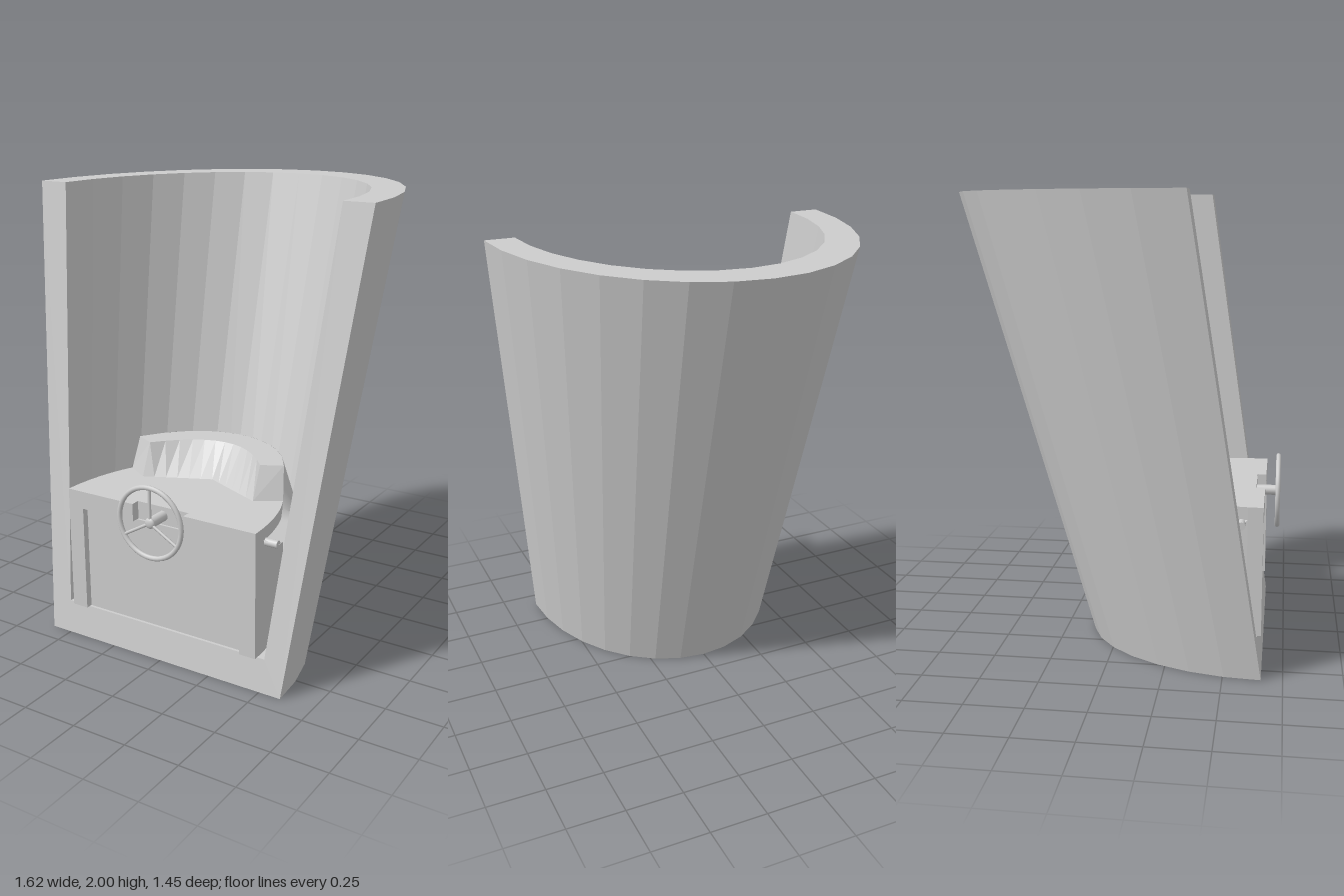
import * as THREE from 'three';

export function createModel() {
  const model = new THREE.Group();
  const grey = new THREE.MeshStandardMaterial({ color: 0xcccccc, side: THREE.DoubleSide });
  grey.name = 'light grey';

  const add = (name, geometry, x = 0, y = 0, z = 0) => {
    const mesh = new THREE.Mesh(geometry, grey);
    mesh.name = name;
    mesh.position.set(x, y, z);
    model.add(mesh);
    return mesh;
  };

  // Faceted geometry from quads, each given as four corners
  const fromQuads = (quads) => {
    const g = new THREE.BufferGeometry();
    const p = quads.flatMap(([a, b, c, d]) => [a, b, c, a, c, d]).flat();
    g.setAttribute('position', new THREE.Float32BufferAttribute(p, 3));
    g.computeVertexNormals();
    return g;
  };
  // Strip between two equally long rows of points
  const strip = (a, b) => a.slice(1).map((p, i) => [a[i], p, b[i + 1], b[i]]);

  // Leaning half-elliptical shell; every arc starts on the sloping front plane
  const arc = (y, rx, rz) => Array.from({ length: 17 }, (_, i) => {
    const t = (i / 16) * Math.PI;
    return [rx * Math.cos(t), y, 0.66 - 0.155 * y - rz * Math.sin(t)];
  });
  const outerLow = arc(0, 0.6, 0.79), outerTop = arc(2, 0.81, 1.08);
  const innerLow = arc(0.145, 0.512, 0.675), innerTop = arc(2, 0.675, 0.9);
  const mirrored = (row) => row.map(([x, y, z]) => [-x, y, 0.66 - 0.155 * y]);
  const flat = (row) => row.map(([x, y]) => [x, y, 0.66 - 0.155 * y]);
  const L = 16;
  add('shell', fromQuads([
    ...strip(outerTop, outerLow),
    ...strip(innerLow, innerTop),
    ...strip(innerTop, outerTop),
    ...strip(flat(innerLow), innerLow),
    ...strip(outerLow, flat(outerLow)),
    [outerLow[0], outerTop[0], innerTop[0], innerLow[0]],
    [outerTop[L], outerLow[L], innerLow[L], innerTop[L]],
    [outerLow[L], outerLow[0], innerLow[0], innerLow[L]],
  ]));

  // Rounded console, extruded upward with a notch cut in its front edge
  const consoleBlock = (name, y, h, notchWidth, notchBack) => {
    const s = new THREE.Shape();
    const f = 0.655;
    s.moveTo(-0.478, -f);
    s.lineTo(-notchWidth, -f);
    s.lineTo(-notchWidth, -notchBack);
    s.lineTo(notchWidth, -notchBack);
    s.lineTo(notchWidth, -f);
    s.lineTo(0.478, -f);
    for (let i = 1; i < 32; i++) {
      const t = (i / 32) * Math.PI;
      s.lineTo(0.478 * Math.cos(t), -f + 0.665 * Math.sin(t));
    }
    const g = new THREE.ExtrudeGeometry(s, { depth: h, bevelEnabled: false });
    g.rotateX(-Math.PI / 2);
    add(name, g, 0, y, 0);
  };
  consoleBlock('consoleBody', 0.145, 0.48, 0.402, 0.625);
  consoleBlock('consoleTop', 0.625, 0.08, 0.13, 0.615);

  // Raised hood at the back of the console
  const n = 12;
  const row = (halfWidth, y, z) => Array.from({ length: n + 1 }, (_, i) => {
    const s = 1 - (2 * i) / n;
    return [halfWidth * s, y, z(s)];
  });
  const rim = (halfWidth) => (s) => 0.655 - 0.665 * Math.sqrt(1 - (halfWidth * s / 0.478) ** 2);
  const backTop = row(0.38, 0.85, rim(0.38)), backLow = row(0.4, 0.705, rim(0.4));
  const faceTop = row(0.29, 0.85, (s) => 0.12 + 0.18 * s * s);
  const faceLow = row(0.29, 0.705, (s) => 0.23 + 0.13 * Math.abs(s));
  add('hood', fromQuads([
    ...strip(faceTop, backTop),
    ...strip(faceLow, faceTop),
    ...strip(backTop, backLow),
    [backTop[0], backLow[0], faceLow[0], faceTop[0]],
    [backLow[n], backTop[n], faceTop[n], faceLow[n]],
  ]));

  // Smooth apron sloping from the console rim down to the shell wall
  const positions = [], index = [], m = 40;
  for (let i = 0; i <= m; i++) {
    const t = 0.1 + (i / m) * (Math.PI - 0.2);
    const c = Math.cos(t), s = Math.sin(t);
    const rise = THREE.MathUtils.smoothstep(s, 0.45, 0.7);
    positions.push(0.478 * c, 0.65 + 0.2 * rise, 0.655 - 0.665 * s);
    positions.push(0.537 * c, 0.635 - 0.1 * rise, 0.64 - 0.79 * s);
    if (i < m) {
      const a = 2 * i;
      index.push(a, a + 2, a + 1, a + 1, a + 2, a + 3);
    }
  }
  const apron = new THREE.BufferGeometry();
  apron.setAttribute('position', new THREE.Float32BufferAttribute(positions, 3));
  apron.setIndex(index.reverse());
  apron.computeVertexNormals();
  add('apron', apron);

  // Rounded apron ends beside the console
  for (const side of [-1, 1]) {
    const end = new THREE.CylinderGeometry(0.017, 0.017, 0.06, 16).rotateZ(Math.PI / 2);
    add('apronEnd', end, side * 0.502, 0.637, 0.565);
  }

  // Steering wheel with three spokes, hub and shaft
  const wheelY = 0.665, wheelZ = 0.71;
  add('wheelRim', new THREE.TorusGeometry(0.157, 0.011, 10, 48), 0, wheelY, wheelZ);
  for (let i = 0; i < 3; i++) {
    const spoke = new THREE.CylinderGeometry(0.007, 0.007, 0.155, 8).translate(0, 0.0775, 0);
    add('wheelSpoke', spoke, 0, wheelY, wheelZ).rotation.z = (i * Math.PI * 2) / 3;
  }
  add('wheelHub', new THREE.SphereGeometry(0.024, 16, 10).scale(1, 1, 0.5), 0, wheelY, wheelZ);
  add('wheelShaft', new THREE.CylinderGeometry(0.023, 0.023, 0.1, 16).rotateX(Math.PI / 2), 0, wheelY, 0.66);

  return model;
}
